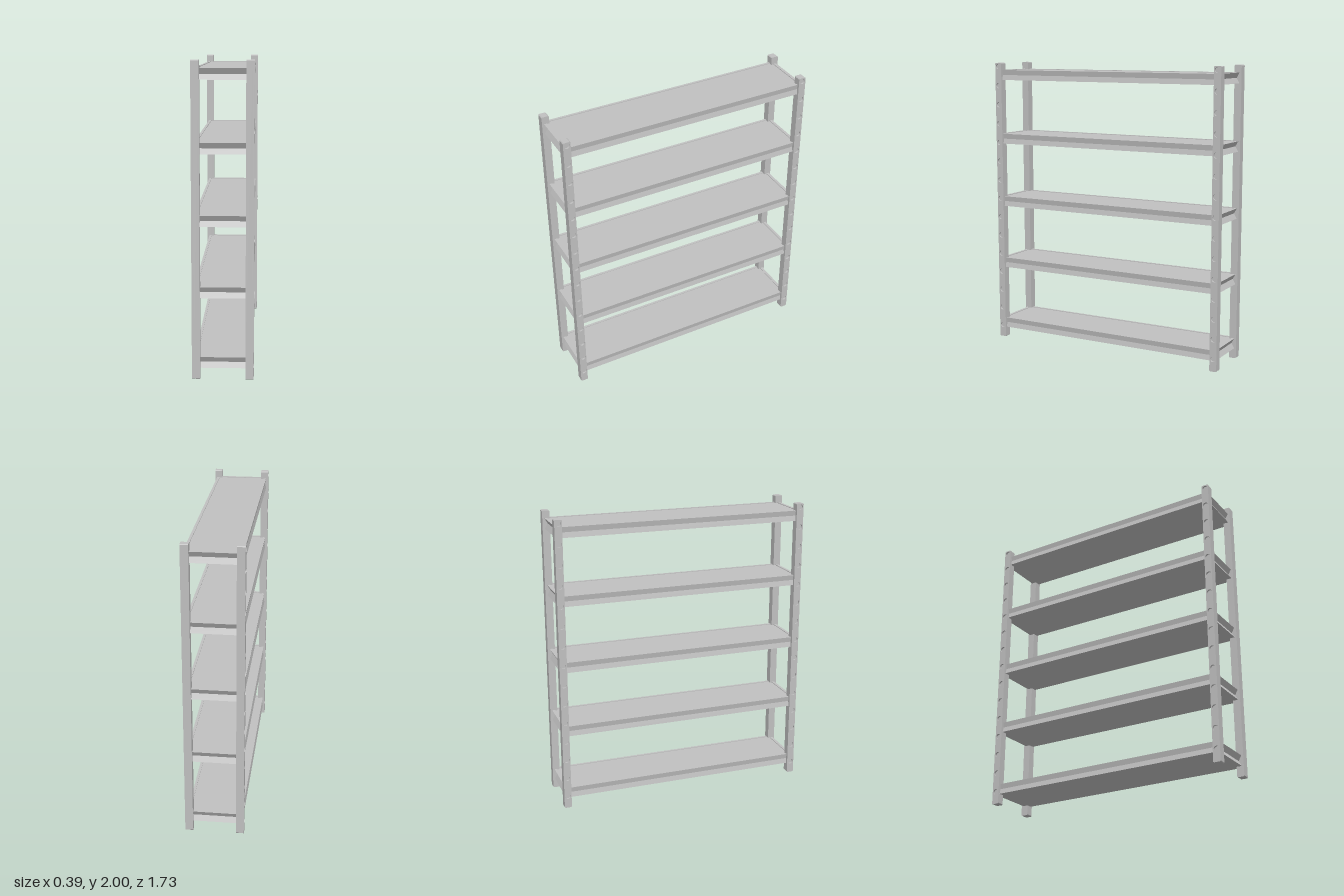
import * as THREE from 'three';

const steel = new THREE.MeshStandardMaterial({ color: 0xc0c0c0 });
steel.name = 'grey steel';

// Post face in the z-y plane with clipped corners; optional row of round holes.
function postOutline(withHoles) {
  const w = 0.025, c = 0.005;
  const shape = new THREE.Shape([
    [-w + c, 0], [w - c, 0], [w, c], [w, 2 - c], [w - c, 2], [-w + c, 2], [-w, 2 - c], [-w, c],
  ].map(([x, y]) => new THREE.Vector2(x, y)));
  if (withHoles) {
    for (let i = 0; i < 15; i++) {
      const hole = new THREE.Path();
      hole.absarc(0, 0.085 + i * 0.135, 0.019, 0, Math.PI * 2, true);
      shape.holes.push(hole);
    }
  }
  return shape;
}

function extrudePart(name, shape, depth, offset) {
  const geo = new THREE.ExtrudeGeometry(shape, { depth, bevelEnabled: false, curveSegments: 8 });
  geo.translate(0, 0, offset);
  const mesh = new THREE.Mesh(geo, steel);
  mesh.name = name;
  return mesh;
}

// Post whose perforated face points along local +z.
function makePost(name) {
  const post = new THREE.Group();
  post.name = name;
  post.add(extrudePart('postCore', postOutline(false), 0.04, 0));
  post.add(extrudePart('perforatedFace', postOutline(true), 0.012, 0.04));
  return post;
}

// Closed solid from stacked rectangles [half x, y, half z].
function makeShelfGeometry() {
  const rings = [
    [0.182, 0, 0.853],      // bottom edge
    [0.174, 0.035, 0.833],  // fold line along the middle of the beams
    [0.180, 0.07, 0.853],   // top edge
    [0.163, 0.07, 0.833],   // inner rim
    [0.163, 0.066, 0.833],  // deck, slightly sunken
  ];
  const pos = [], index = [];
  for (const [x, y, z] of rings) pos.push(-x, y, z, x, y, z, x, y, -z, -x, y, -z);
  for (let r = 0; r < rings.length - 1; r++) {
    for (let k = 0; k < 4; k++) {
      const a = r * 4 + k, b = r * 4 + (k + 1) % 4;
      index.push(a, b, b + 4, a, b + 4, a + 4);
    }
  }
  const t = (rings.length - 1) * 4;
  index.push(0, 2, 1, 0, 3, 2, t, t + 1, t + 2, t, t + 2, t + 3);
  const geo = new THREE.BufferGeometry();
  geo.setAttribute('position', new THREE.Float32BufferAttribute(pos, 3));
  geo.setIndex(index);
  const flat = geo.toNonIndexed();
  flat.computeVertexNormals();
  return flat;
}

export function createModel() {
  const group = new THREE.Group();
  group.name = 'shelvingRack';

  // Four corner posts, perforated faces outward
  for (const sx of [-1, 1]) {
    for (const sz of [-1, 1]) {
      const post = makePost((sz > 0 ? 'front' : 'back') + (sx > 0 ? 'Left' : 'Right') + 'Post');
      post.rotation.y = sx * Math.PI / 2;
      post.position.set(sx * 0.143, 0, sz * 0.842);
      group.add(post);
    }
  }

  // Five evenly spaced shelves
  const shelfGeo = makeShelfGeometry();
  for (let i = 0; i < 5; i++) {
    const shelf = new THREE.Mesh(shelfGeo, steel);
    shelf.name = 'shelf' + (i + 1);
    shelf.position.y = 0.07 + i * 0.4525;
    group.add(shelf);
  }
  return group;
}
